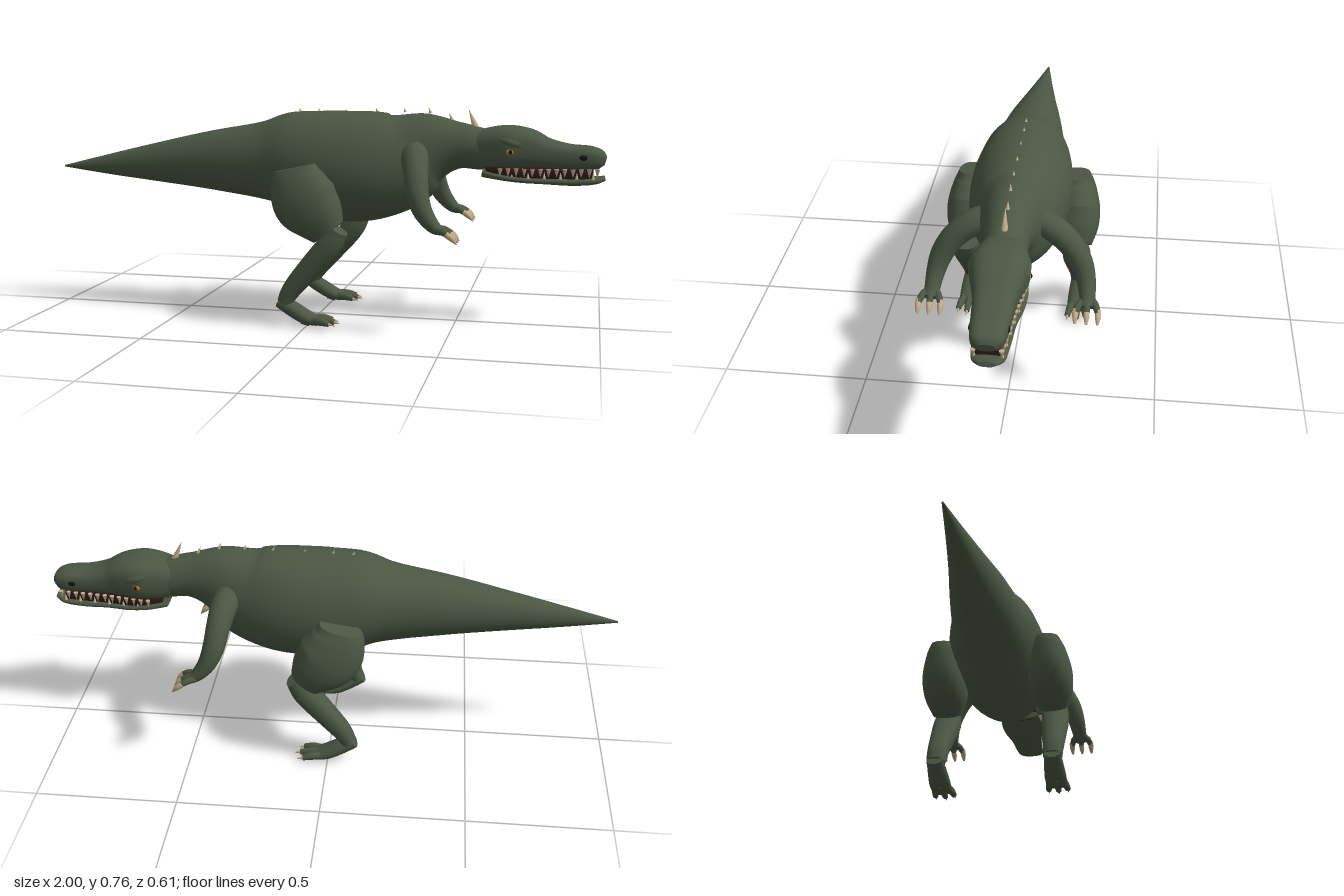
import * as THREE from 'three';

const mat = (name, color, side = THREE.FrontSide) => {
  const m = new THREE.MeshStandardMaterial({ color, side });
  m.name = name;
  return m;
};

// Loft through sections [x, y, z, a, b]: a is the half height (in the xy plane), b the half width (towards z).
// pow above 2 makes the section boxier.
function loft(sections, { sides = 24, steps = 5, pow = 2 } = {}) {
  const path = new THREE.CatmullRomCurve3(sections.map(s => new THREE.Vector3(s[0], s[1], s[2])));
  const radii = new THREE.CatmullRomCurve3(sections.map(s => new THREE.Vector3(s[3], s[4], s[0])));
  const rings = (sections.length - 1) * steps;
  const pos = [], idx = [], Z = new THREE.Vector3(0, 0, 1);
  const soft = v => Math.sign(v) * Math.pow(Math.abs(v), 2 / pow);
  const addRing = t => {
    const c = path.getPoint(t), r = radii.getPoint(t), T = path.getTangent(t);
    const N = Z.clone().cross(T).normalize(), S = T.clone().cross(N);
    for (let j = 0; j < sides; j++) {
      const th = j / sides * Math.PI * 2;
      const p = c.clone().addScaledVector(N, r.x * soft(Math.cos(th))).addScaledVector(S, r.y * soft(Math.sin(th)));
      pos.push(p.x, p.y, p.z);
    }
    return c;
  };
  for (let i = 0; i <= rings; i++) addRing(i / rings);
  for (let i = 0; i < rings; i++) for (let j = 0; j < sides; j++) {
    const k = (j + 1) % sides, a = i * sides + j, b = i * sides + k, c = a + sides, d = b + sides;
    idx.push(a, b, d, a, d, c);
  }
  // flat end caps with their own vertices
  for (const t of [0, 1]) {
    const start = pos.length / 3, c = addRing(t), mid = start + sides;
    pos.push(c.x, c.y, c.z);
    for (let j = 0; j < sides; j++) {
      const k = (j + 1) % sides;
      t ? idx.push(mid, start + j, start + k) : idx.push(mid, start + k, start + j);
    }
  }
  const g = new THREE.BufferGeometry();
  g.setAttribute('position', new THREE.Float32BufferAttribute(pos, 3));
  g.setIndex(idx);
  g.computeVertexNormals();
  return g;
}

// Horizontal loft from profile rows [x, top, bottom, halfWidth]
const profile = (rows, opts) =>
  loft(rows.map(([x, t, b, w]) => [x, (t + b) / 2, 0, (t - b) / 2, w]), opts);

export function createModel() {
  const green = mat('hide green', 0x4b5743);
  const bone = mat('bone', 0xc4ac88);
  const amber = mat('amber', 0xc4821c);
  const black = mat('black', 0x141414);
  const maroon = mat('mouth dark', 0x2a1a18);

  const model = new THREE.Group();
  model.name = 'dinosaur';
  const add = (name, geo, material, parent = model) => {
    const m = new THREE.Mesh(geo, material);
    m.name = name;
    parent.add(m);
    return m;
  };
  const cone = (name, from, to, r, parent, material = bone) => {
    const a = new THREE.Vector3(...from), d = new THREE.Vector3(...to).sub(a);
    const m = add(name, new THREE.ConeGeometry(r, d.length(), 8), material, parent);
    m.position.copy(a).addScaledVector(d, 0.5);
    m.quaternion.setFromUnitVectors(new THREE.Vector3(0, 1, 0), d.normalize());
    return m;
  };
  const ball = (name, p, s, material, parent) => {
    const m = add(name, new THREE.SphereGeometry(1, 16, 12), material, parent);
    m.position.set(...p);
    m.scale.set(...s);
    return m;
  };

  // tail, trunk and neck
  add('body', profile([
    [-1, 0.522, 0.516, 0.003], [-0.8, 0.572, 0.49, 0.032], [-0.6, 0.62, 0.468, 0.064],
    [-0.4, 0.665, 0.445, 0.1], [-0.2, 0.703, 0.415, 0.133], [-0.1, 0.738, 0.385, 0.16],
    [0, 0.743, 0.355, 0.175], [0.1, 0.743, 0.345, 0.177], [0.2, 0.745, 0.357, 0.166],
    [0.3, 0.746, 0.4, 0.138], [0.4, 0.743, 0.49, 0.1], [0.5, 0.71, 0.545, 0.075],
    [0.6, 0.685, 0.545, 0.07], [0.64, 0.68, 0.56, 0.06],
  ], { sides: 40 }), green);

  // head
  const head = new THREE.Group();
  head.name = 'head';
  model.add(head);
  add('upper head', profile([
    [0.57, 0.68, 0.548, 0.07], [0.62, 0.695, 0.545, 0.083], [0.68, 0.701, 0.548, 0.094],
    [0.74, 0.69, 0.552, 0.083], [0.8, 0.66, 0.554, 0.068], [0.88, 0.64, 0.554, 0.06],
    [0.95, 0.634, 0.555, 0.055], [0.985, 0.62, 0.558, 0.046], [1, 0.6, 0.57, 0.026],
  ], { sides: 32, pow: 2.8 }), green, head);
  add('lower jaw', profile([
    [0.588, 0.555, 0.522, 0.074], [0.65, 0.542, 0.513, 0.084], [0.72, 0.532, 0.506, 0.08],
    [0.8, 0.528, 0.502, 0.064], [0.9, 0.527, 0.499, 0.057], [0.97, 0.53, 0.506, 0.048],
    [1, 0.534, 0.518, 0.026],
  ], { pow: 2.6 }), green, head);
  add('mouth interior', profile([
    [0.6, 0.57, 0.52, 0.066], [0.68, 0.57, 0.515, 0.074], [0.8, 0.565, 0.515, 0.054],
    [0.96, 0.565, 0.515, 0.04],
  ], { pow: 4 }), maroon, head);
  for (const s of [1, -1]) {
    // brow, eye and nostril
    const brow = ball('brow', [0.685, 0.645, s * 0.078], [0.045, 0.018, 0.018], green, head);
    brow.rotation.z = -0.25;
    ball('eye', [0.682, 0.616, s * 0.087], [0.016, 0.013, 0.01], amber, head);
    ball('pupil', [0.685, 0.616, s * 0.095], [0.006, 0.008, 0.004], black, head);
    ball('nostril', [0.925, 0.598, s * 0.055], [0.015, 0.01, 0.005], black, head);
    // teeth along both jaws
    for (let i = 0; i < 13; i++) {
      const x = 0.65 + i * 0.027;
      const z = s * (x < 0.8 ? 0.078 - (x - 0.65) * 0.14 : 0.057 - (x - 0.8) * 0.09);
      cone('upper tooth', [x, 0.558, z], [x, 0.528, z], 0.0085, head);
      if (i % 2) cone('lower tooth', [x + 0.013, 0.524, z * 0.95], [x + 0.013, 0.548, z * 0.95], 0.006, head);
    }
  }

  // spikes along the back, largest behind the head
  [[0.56, 0.685, 0.073, 0.013], [0.475, 0.715, 0.026, 0.007], [0.4, 0.738, 0.022, 0.006], [0.31, 0.742, 0.016, 0.005],
    [0.21, 0.741, 0.014, 0.005], [0.1, 0.739, 0.013, 0.005], [0, 0.739, 0.013, 0.005], [-0.07, 0.738, 0.013, 0.005]]
    .forEach(([x, y, h, r]) => cone('back spike', [x, y, 0], [x - h * 0.4, y + h, 0], r, model));

  for (const s of [1, -1]) {
    const side = s > 0 ? 'left' : 'right';
    const limb = (name, rows, parent, opts) =>
      add(name, loft(rows.map(([x, y, z, a, b]) => [x, y, z * s, a, b]), opts), green, parent);

    // arm, hand and claws
    const arm = new THREE.Group();
    arm.name = side + 'Arm';
    model.add(arm);
    limb('arm', [
      [0.35, 0.605, 0.07, 0.05, 0.045], [0.365, 0.588, 0.13, 0.047, 0.045], [0.378, 0.54, 0.19, 0.042, 0.042],
      [0.392, 0.475, 0.232, 0.038, 0.038], [0.415, 0.42, 0.25, 0.032, 0.032], [0.455, 0.374, 0.258, 0.022, 0.026],
      [0.485, 0.362, 0.26, 0.012, 0.024],
    ], arm, { sides: 20 });
    for (const k of [-1, 0, 1]) {
      const z = 0.259 + k * 0.037;
      limb('finger', [[0.45, 0.37, 0.259 + k * 0.012, 0.012, 0.012], [0.48, 0.367, z - k * 0.01, 0.012, 0.012],
        [0.505, 0.354, z, 0.01, 0.01]], arm, { sides: 10, steps: 3 });
      add('hand claw', loft([[0.495, 0.36, z * s, 0.01, 0.01], [0.515, 0.346, z * s, 0.01, 0.01],
        [0.532, 0.327, z * s, 0.002, 0.004]], { sides: 10, steps: 3 }), bone, arm);
    }

    // thigh, shin, foot and claws
    const leg = new THREE.Group();
    leg.name = side + 'Leg';
    model.add(leg);
    limb('thigh', [
      [-0.045, 0.555, 0.19, 0.075, 0.045], [-0.036, 0.515, 0.19, 0.095, 0.064], [-0.008, 0.445, 0.193, 0.115, 0.08],
      [0.04, 0.385, 0.195, 0.095, 0.077], [0.078, 0.335, 0.197, 0.062, 0.055],
    ], leg, { pow: 2.3 });
    limb('shin', [
      [0.115, 0.345, 0.2, 0.034, 0.044], [0.085, 0.295, 0.2, 0.042, 0.05], [0.01, 0.205, 0.203, 0.04, 0.043],
      [-0.055, 0.125, 0.205, 0.033, 0.036], [-0.078, 0.082, 0.205, 0.026, 0.033],
    ], leg, { sides: 20, pow: 2.3 });
    limb('foot', [
      [-0.098, 0.085, 0.205, 0.022, 0.028], [-0.05, 0.06, 0.205, 0.027, 0.034], [0, 0.033, 0.205, 0.025, 0.038],
      [0.045, 0.02, 0.205, 0.015, 0.036],
    ], leg, { sides: 20 });
    for (const k of [-1, 0, 1]) {
      const z = 0.205 + k * 0.034, reach = k ? 0 : 0.012;
      limb('toe', [[0.02, 0.026, 0.205 + k * 0.02, 0.015, 0.014], [0.055, 0.026, z - k * 0.006, 0.015, 0.013],
        [0.088 + reach, 0.02, z, 0.01, 0.01]], leg, { sides: 12, steps: 3 });
      cone('toe claw', [0.08 + reach, 0.021, z * s], [0.112 + reach, 0.014, z * s], 0.008, leg);
    }
    // small raised inner claw at the heel side of the foot
    cone('sole pad', [0, 0.02, 0.205 * s], [0.01, 0, 0.205 * s], 0.025, leg, green);
  }
  return model;
}
